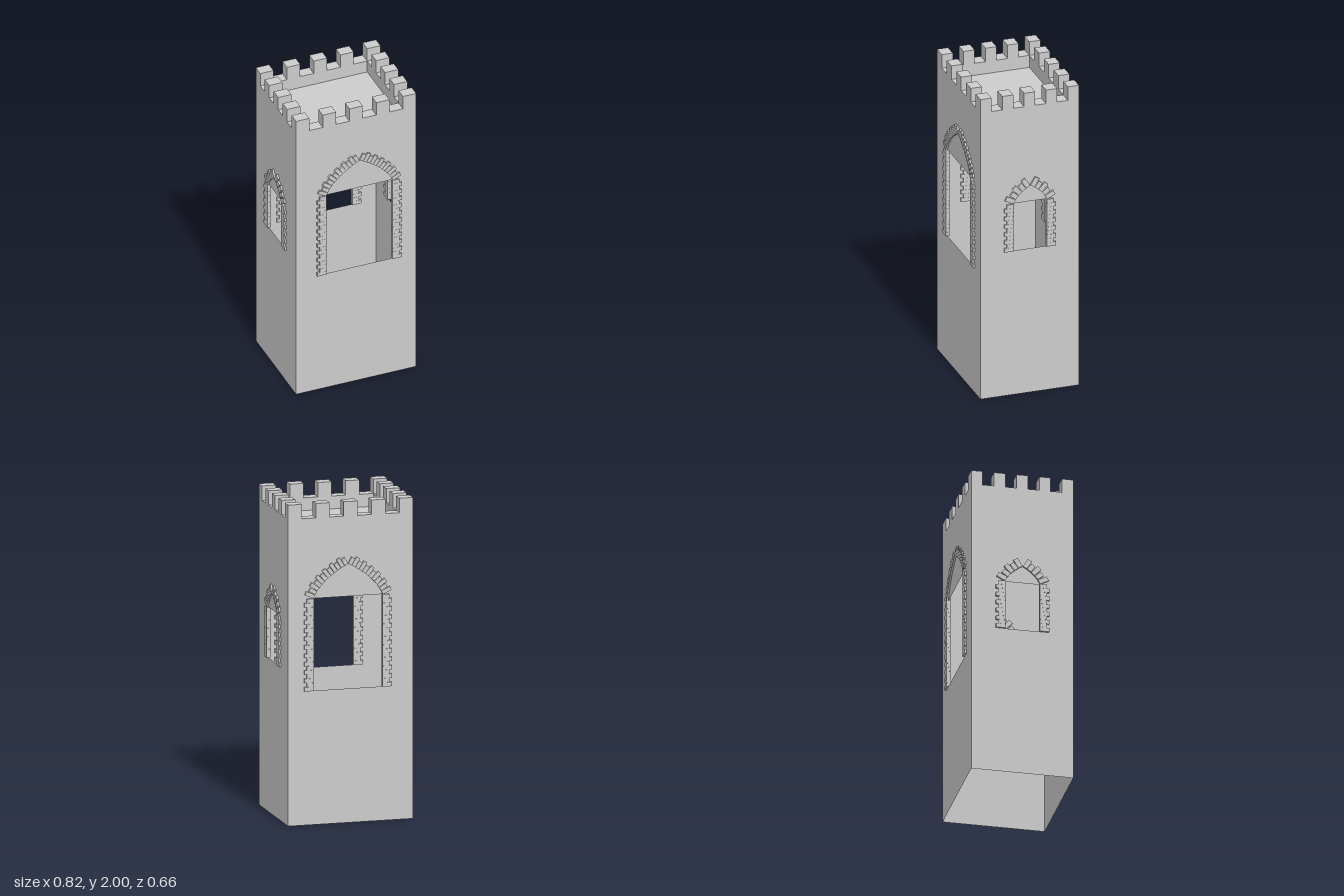
import * as THREE from 'three';

const X = 0.396, Z = 0.318, TOP = 2, CRENEL = 1.91, ROOF = 1.83;
const TX = 0.087, TZ = 0.071; // parapet thickness in x and z
const mat = new THREE.MeshStandardMaterial({ color: 0xcccccc, flatShading: true, side: THREE.DoubleSide });

function add(parent, name, geometry, x = 0, y = 0, z = 0) {
  const mesh = new THREE.Mesh(geometry, mat);
  mesh.name = name;
  mesh.position.set(x, y, z);
  parent.add(mesh);
  return mesh;
}

function rect(PathType, x0, y0, x1, y1) {
  const p = new PathType();
  p.moveTo(x0, y0);
  p.lineTo(x1, y0);
  p.lineTo(x1, y1);
  p.lineTo(x0, y1);
  p.closePath();
  return p;
}

// Thin wall with a square-headed opening, framed by stones that form a pointed arch
function makeWall(name, halfWidth, o) {
  const wall = new THREE.Group();
  wall.name = name;
  const shape = rect(THREE.Shape, -halfWidth, 0, halfWidth, CRENEL);
  shape.holes.push(rect(THREE.Path, o.cx - o.half, o.sill, o.cx + o.half, o.spring));
  add(wall, 'wallPanel', new THREE.ShapeGeometry(shape));

  const depth = 0.024;
  for (const s of [-1, 1]) {
    // Jamb stones, alternately long and short
    const step = (o.spring - o.sill) / o.rows;
    for (let i = 0; i < o.rows; i++) {
      const w = i % 2 ? 0.044 : 0.06;
      add(wall, 'jambStone', new THREE.BoxGeometry(w, step * 0.98, depth),
        o.cx + s * (o.half + w / 2 - 0.002), o.sill + step * (i + 0.5), 0);
    }
    // Arch stones set square to the curve
    const curve = new THREE.QuadraticBezierCurve(
      new THREE.Vector2(o.half, o.spring),
      new THREE.Vector2(o.half * 0.8, o.spring + (o.apex - o.spring) * 0.55),
      new THREE.Vector2(0, o.apex));
    const pitch = curve.getLength() / o.stones;
    for (let i = 0; i < o.stones; i++) {
      const u = (i + 0.5) / o.stones;
      const p = curve.getPointAt(u), t = curve.getTangentAt(u);
      const len = i % 2 ? 0.046 : 0.06;
      const nx = t.y, ny = -t.x; // outward normal of the curve
      const stone = add(wall, 'archStone', new THREE.BoxGeometry(len, pitch * 0.95, depth),
        o.cx + s * (p.x + nx * len / 2), p.y + ny * len / 2, 0);
      stone.rotation.z = s * Math.atan2(ny, nx);
    }
  }
  return wall;
}

export function createModel() {
  const tower = new THREE.Group();
  tower.name = 'tower';

  // Four walls: wide openings front and back, small ones on the sides
  const large = { cx: 0.018, half: 0.22, sill: 0.835, spring: 1.41, apex: 1.615, rows: 22, stones: 12 };
  const small = { cx: 0, half: 0.108, sill: 0.96, spring: 1.275, apex: 1.385, rows: 12, stones: 5 };
  for (const s of [-1, 1]) {
    const wide = makeWall(s > 0 ? 'frontWall' : 'backWall', X, large);
    wide.position.z = s * Z;
    tower.add(wide);
    const narrow = makeWall(s > 0 ? 'leftWall' : 'rightWall', Z, small);
    narrow.position.x = s * X;
    narrow.rotation.y = s * Math.PI / 2;
    tower.add(narrow);
  }

  // Roof deck
  const deck = add(tower, 'roofDeck', new THREE.PlaneGeometry(2 * X, 2 * Z), 0, ROOF, 0);
  deck.rotation.x = -Math.PI / 2;

  // Low parapet around the deck
  const ring = rect(THREE.Shape, -X, -Z, X, Z);
  ring.holes.push(rect(THREE.Path, -X + TX, -Z + TZ, X - TX, Z - TZ));
  const parapet = add(tower, 'parapet',
    new THREE.ExtrudeGeometry(ring, { depth: CRENEL - ROOF, bevelEnabled: false }), 0, ROOF, 0);
  parapet.rotation.x = -Math.PI / 2;

  // Merlons: five along each side, corners shared
  const h = TOP - CRENEL;
  for (let i = 0; i < 5; i++) {
    for (let j = 0; j < 5; j++) {
      if (i % 4 && j % 4) continue;
      add(tower, 'merlon', new THREE.BoxGeometry(TX, h, TZ),
        (i / 2 - 1) * (X - TX / 2), CRENEL + h / 2, (j / 2 - 1) * (Z - TZ / 2));
    }
  }
  return tower;
}
